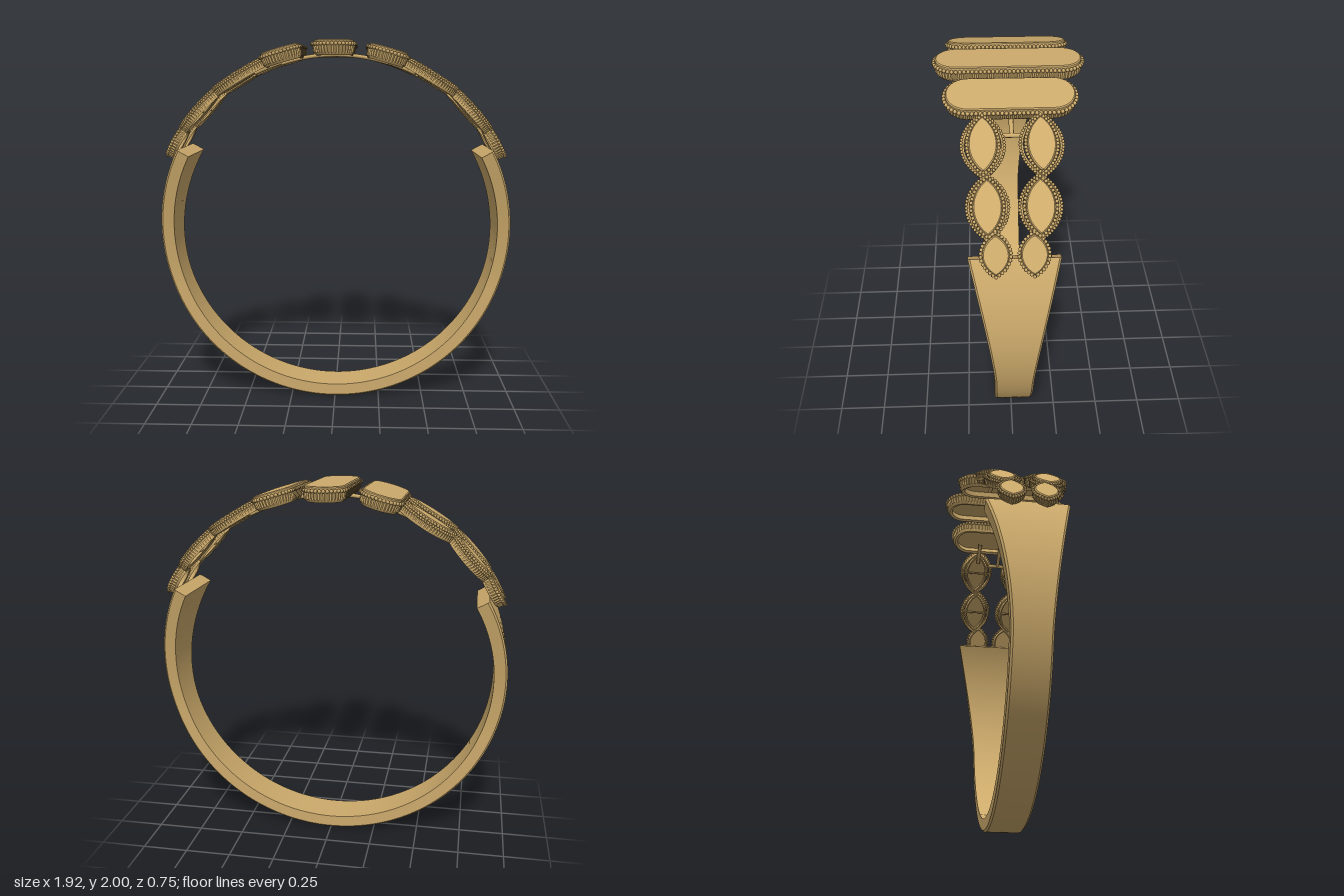
import * as THREE from 'three';
import { mergeGeometries, toCreasedNormals } from 'three/addons/utils/BufferGeometryUtils.js';

const CY = 0.962; // height of the ring's centre
const gold = new THREE.MeshStandardMaterial({ color: 0xccaa6b });
const rad = THREE.MathUtils.degToRad;

function mesh(name, geometry) {
  const m = new THREE.Mesh(geometry, gold);
  m.name = name;
  return m;
}

// Joins a grid of cross-section rings; rings[i][j] is a Vector3
function loft(rings, closed) {
  const n = rings.length, k = rings[0].length, index = [];
  for (let i = 0; i < (closed ? n : n - 1); i++) {
    for (let j = 0; j < k; j++) {
      const a = i * k + j, b = ((i + 1) % n) * k + j;
      const c = ((i + 1) % n) * k + (j + 1) % k, d = i * k + (j + 1) % k;
      index.push(a, b, c, a, c, d);
    }
  }
  if (!closed) { // end caps
    for (let j = 1; j < k - 1; j++) {
      const e = (n - 1) * k;
      index.push(0, j, j + 1, e, e + j + 1, e + j);
    }
  }
  const g = new THREE.BufferGeometry().setFromPoints(rings.flat());
  g.setIndex(index);
  return toCreasedNormals(g, rad(30));
}

// Outlines, counter-clockwise
function pillShape(w, l) {
  const s = new THREE.Shape();
  s.moveTo(w, w - l);
  s.lineTo(w, l - w);
  s.absarc(0, l - w, w, 0, Math.PI, false);
  s.lineTo(-w, w - l);
  s.absarc(0, w - l, w, Math.PI, Math.PI * 2, false);
  return s;
}
function leafShape(a, b) {
  const s = new THREE.Shape();
  s.moveTo(-a, 0);
  s.bezierCurveTo(-a * 0.5, -b * 1.33, a * 0.5, -b * 1.33, a, 0);
  s.bezierCurveTo(a * 0.5, b * 1.33, -a * 0.5, b * 1.33, -a, 0);
  return s;
}

// Evenly spaced outline points with their outward normals
function trace(shape, n) {
  const p = shape.getSpacedPoints(n).slice(0, n);
  return p.map((q, i) => {
    const t = p[(i + 1) % n].clone().sub(p[(i + n - 1) % n]).normalize();
    return { q, nx: t.y, ny: -t.x };
  });
}
const shifted = (t, o) => new THREE.Vector2(t.q.x + t.nx * o, t.q.y + t.ny * o);

// Wall swept round an outline: profile of [outward offset, height, rib depth]
function ribbedWall(shape, profile, pitch) {
  const n = 2 * Math.round(shape.getLength() / pitch);
  const rings = trace(shape, n).map((t, i) => profile.map(([o, h, rib]) => {
    const v = shifted(t, o - (i % 2) * rib);
    return new THREE.Vector3(v.x, v.y, h);
  }));
  return loft(rings, true).rotateX(-Math.PI / 2);
}

// Row of small beads along an outline
function beadRow(shape, r, h) {
  const n = Math.round(shape.getLength() / (r * 1.9));
  const bead = new THREE.SphereGeometry(r, 6, 4);
  return mergeGeometries(trace(shape, n).map(({ q }) => bead.clone().translate(q.x, h, -q.y)));
}

// Flat plate filling an outline, with softened upper edge
function plate(shape, offset, bottom, top) {
  const b = 0.005;
  const s = new THREE.Shape(trace(shape, 64).map(t => shifted(t, offset - b)));
  const g = new THREE.ExtrudeGeometry(s, {
    depth: top - bottom - 2 * b, bevelEnabled: true, bevelSize: b, bevelThickness: b, bevelSegments: 1,
  });
  return g.translate(0, 0, bottom + b).rotateX(-Math.PI / 2);
}

// Puts a group on the ring: phi degrees from the top, at radius r
function place(group, phi, r, z) {
  const a = rad(phi);
  group.position.set(Math.sin(a) * r, CY + Math.cos(a) * r, z);
  group.rotation.z = -a;
  return group;
}

function pillSetting(halfLength) {
  const g = new THREE.Group();
  g.name = 'pillSetting';
  const s = pillShape(0.11, halfLength - 0.01);
  g.add(mesh('pillWall', ribbedWall(s, [[-0.018, 0, 0], [-0.005, 0.014, 0.005], [0, 0.05, 0.005],
    [-0.012, 0.056, 0], [-0.03, 0.05, 0], [-0.034, 0.006, 0]], 0.018)));
  g.add(mesh('pillBeads', beadRow(s, 0.0105, 0.057)));
  g.add(mesh('pillPlate', plate(s, -0.007, 0.035, 0.078)));
  return g;
}

function leafSetting(a, b, strapWidth) {
  const g = new THREE.Group();
  g.name = 'leafSetting';
  const s = leafShape(a, b);
  g.add(mesh('leafWall', ribbedWall(s, [[-0.01, 0, 0], [0, 0.012, 0.004], [0, 0.04, 0.004],
    [-0.016, 0.042, 0], [-0.018, 0.004, 0]], 0.017)));
  g.add(mesh('leafBeads', beadRow(s, 0.009, 0.045)));
  g.add(mesh('leafPlate', plate(s, -0.008, 0.026, 0.056)));
  if (strapWidth) { // bowed strap round the leaf, pinned across
    const o = leafShape(a + 0.012, strapWidth);
    g.add(mesh('leafStrap', ribbedWall(o, [[-0.006, -0.004, 0], [0, 0.008, 0.004], [0, 0.034, 0.004],
      [-0.014, 0.036, 0], [-0.016, 0, 0]], 0.017)));
    g.add(mesh('strapBeads', beadRow(o, 0.008, 0.036)));
    const pin = new THREE.CylinderGeometry(0.006, 0.006, strapWidth * 2 - 0.015, 8).rotateX(Math.PI / 2);
    g.add(mesh('leafPin', pin.translate(0, 0.012, 0)));
  }
  return g;
}

// Open shank, flaring toward both ends
function band() {
  const rings = [], ri = 0.89, ro = 0.962, c = 0.01, n = 120;
  for (let i = 0; i <= n; i++) {
    const a = rad(61 + 238 * i / n);
    const y = CY + Math.cos(a) * ro;
    const w = 0.098 + 0.115 * Math.pow(Math.max(0, (y - 0.65) / 0.78), 1.6);
    const section = [[ri, -w], [ri, w], [ro - c, w], [ro, w - c], [ro, c - w], [ro - c, -w]];
    rings.push(section.map(([r, z]) => new THREE.Vector3(Math.sin(a) * r, CY + Math.cos(a) * r, z)));
  }
  return mesh('band', loft(rings, false));
}

// Thin wire following the ring between two angles
function wire(from, to, r, z) {
  const pts = [];
  for (let i = 0; i <= 8; i++) {
    const a = rad(from + (to - from) * i / 8);
    pts.push(new THREE.Vector3(Math.sin(a) * r, CY + Math.cos(a) * r, z));
  }
  return mesh('supportWire', new THREE.TubeGeometry(new THREE.CatmullRomCurve3(pts), 24, 0.011, 8));
}

export function createModel() {
  const ring = new THREE.Group();
  ring.name = 'ring';
  ring.add(band());
  ring.add(place(pillSetting(0.375), 0, 0.96, 0));
  ring.add(wire(-27, 27, 0.968, 0));

  // angle, half length, half width, strap half width, distance from the middle
  const leaves = [[31, 0.148, 0.073, 0.098, 0.133], [47.5, 0.134, 0.073, 0.094, 0.118], [59.5, 0.1, 0.068, 0, 0.086]];
  for (const side of [-1, 1]) {
    ring.add(place(pillSetting(0.32), side * 16, 0.96, 0));
    for (const z of [-1, 1]) {
      for (const [phi, a, b, strap, dz] of leaves) {
        ring.add(place(leafSetting(a, b, strap), side * phi, 0.967, z * dz));
      }
      ring.add(wire(side * 17, side * 26, 0.968, z * 0.13));
    }
    // cross bar joining the first pair of leaves
    const bar = new THREE.Group();
    bar.name = 'crossBar';
    bar.add(mesh('crossBarRod', new THREE.CylinderGeometry(0.011, 0.011, 0.12, 8).rotateX(Math.PI / 2)));
    ring.add(place(bar, side * 27, 0.968, 0));
  }
  return ring;
}
